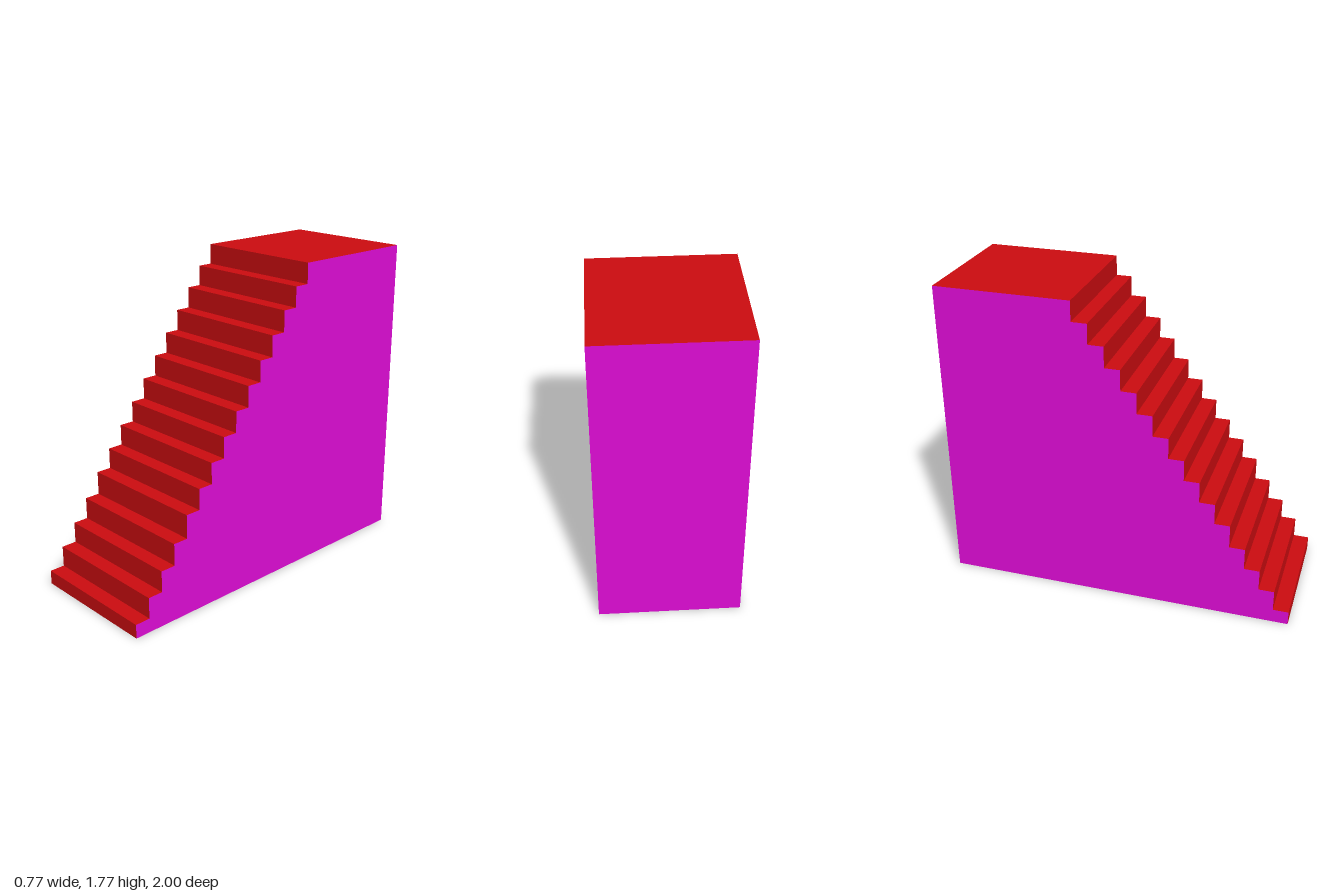
import * as THREE from 'three';

const HALF_WIDTH = 0.385;
const FRONT = 1, BACK = -1, LANDING_FRONT = -0.23;
// height of each tread, the last being the landing
const HEIGHTS = [0.08, 0.2, 0.32, 0.445, 0.58, 0.7, 0.82, 0.94, 1.06, 1.18, 1.3, 1.42, 1.54, 1.655, 1.77];
const TOP = HEIGHTS[HEIGHTS.length - 1];
const RUN = (FRONT - LANDING_FRONT) / (HEIGHTS.length - 1);

export function createModel() {
  const model = new THREE.Group();
  model.name = 'staircase';
  const red = new THREE.MeshStandardMaterial({ color: 0xcc0c10, side: THREE.DoubleSide });
  const magenta = new THREE.MeshStandardMaterial({ color: 0xdd0cd4, side: THREE.DoubleSide });

  const add = (parent, name, geometry, material, x, y, z) => {
    const mesh = new THREE.Mesh(geometry, material);
    mesh.name = name;
    mesh.position.set(x, y, z);
    parent.add(mesh);
    return mesh;
  };

  // Thin risers and treads, open underneath
  const steps = new THREE.Group();
  steps.name = 'steps';
  model.add(steps);
  const outline = [new THREE.Vector2(-FRONT, 0)];
  HEIGHTS.forEach((y, i) => {
    const below = i ? HEIGHTS[i - 1] : 0;
    const last = i === HEIGHTS.length - 1;
    const z = FRONT - i * RUN;
    const zEnd = last ? BACK : z - RUN;
    add(steps, 'riser', new THREE.PlaneGeometry(HALF_WIDTH * 2, y - below), red, 0, (y + below) / 2, z);
    const tread = new THREE.PlaneGeometry(HALF_WIDTH * 2, z - zEnd).rotateX(-Math.PI / 2);
    add(steps, last ? 'landing' : 'tread', tread, red, 0, y, (z + zEnd) / 2);
    outline.push(new THREE.Vector2(-z, y), new THREE.Vector2(-zEnd, y));
  });
  outline.push(new THREE.Vector2(-BACK, 0));

  // Stepped side walls
  const wall = new THREE.ShapeGeometry(new THREE.Shape(outline)).rotateY(Math.PI / 2);
  add(model, 'leftWall', wall, magenta, HALF_WIDTH, 0, 0);
  add(model, 'rightWall', wall, magenta, -HALF_WIDTH, 0, 0);

  // Back wall
  const back = new THREE.PlaneGeometry(HALF_WIDTH * 2, TOP).rotateY(Math.PI);
  add(model, 'backWall', back, magenta, 0, TOP / 2, BACK);

  return model;
}
